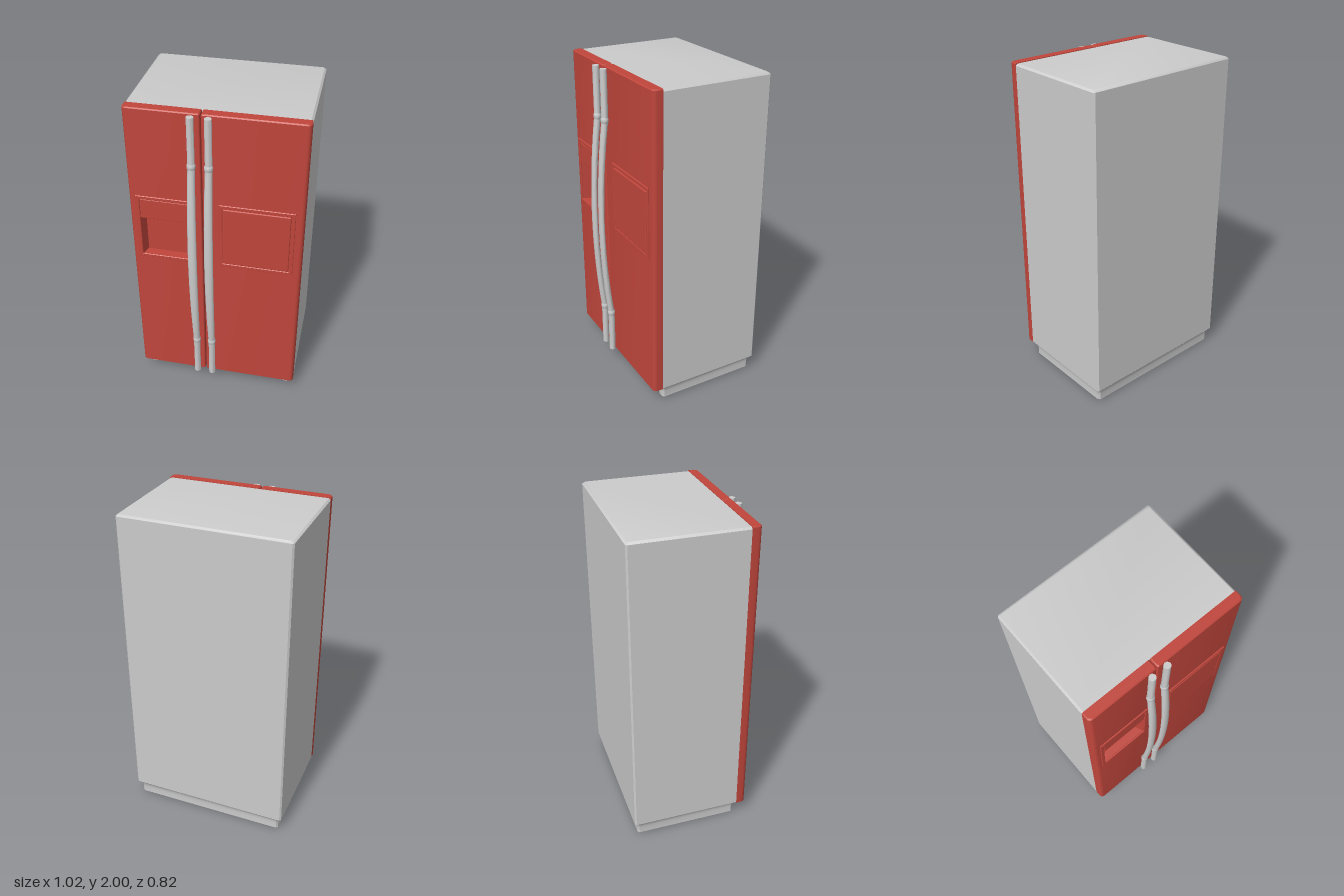
import * as THREE from 'three';
import { toCreasedNormals } from 'three/addons/utils/BufferGeometryUtils.js';
import { RoundedBoxGeometry } from 'three/addons/geometries/RoundedBoxGeometry.js';

const grey = new THREE.MeshStandardMaterial({ color: 0xcccccc });
const red = new THREE.MeshStandardMaterial({ color: 0xc0463c });

// Skin a stack of [y, plan] sections and cap both ends.
// Each plan is a list of [x, z] running front left, front right, back right, back left.
function loft(sections, crease = 0.6) {
  const n = sections[0][1].length;
  const pos = sections.flatMap(([y, plan]) => plan.flatMap(([x, z]) => [x, y, z]));
  const index = [];
  for (let i = 0; i < sections.length - 1; i++) {
    for (let j = 0; j < n; j++) {
      const a = i * n + j, b = i * n + (j + 1) % n;
      index.push(a, b, b + n, a, b + n, a + n);
    }
  }
  const last = (sections.length - 1) * n;
  const flat = s => s[1].map(([x, z]) => new THREE.Vector2(x, -z));
  for (const [a, b, c] of THREE.ShapeUtils.triangulateShape(flat(sections[0]), [])) index.push(c, b, a);
  for (const [a, b, c] of THREE.ShapeUtils.triangulateShape(flat(sections.at(-1)), [])) index.push(last + a, last + b, last + c);
  const g = new THREE.BufferGeometry();
  g.setAttribute('position', new THREE.Float32BufferAttribute(pos, 3));
  g.setIndex(index);
  return toCreasedNormals(g, crease);
}

function add(parent, name, geometry, material, x = 0, y = 0, z = 0) {
  const mesh = new THREE.Mesh(geometry, material);
  mesh.name = name;
  mesh.position.set(x, y, z);
  parent.add(mesh);
  return mesh;
}

// Cabinet outline with chamfered back corners
function cabinetPlan(inset) {
  const x = 0.51 - inset, z = -0.412 + inset, c = 0.01;
  return [[-x, 0.27], [x, 0.27], [x, z + c], [x - c, z], [-x + c, z], [-x, z + c]];
}

// Base outline: rounded corners and a toe recess between the front feet
function basePlan(inset) {
  const x = 0.485 - inset, f = 0.255 - inset, b = -0.39 + inset, c = 0.012;
  const half = [[0.37, f - 0.045], [0.40, f - 0.03], [0.42, f - 0.01], [0.44, f],
    [x - c, f], [x, f - c], [x, b + c], [x - c, b]];
  const mirrored = half.map(([px, pz]) => [-px, pz]).reverse();
  return [...half, ...mirrored];
}

// Door outline with rounded front edges and an optional splayed notch
function doorPlan(x0, x1, r0, r1, inset = 0, notch = []) {
  const a = x0 + inset, b = x1 - inset, f = 0.33 - inset, pts = [[a, 0.27]];
  const steps = [0, 1, 2, 3, 4].map(i => i * Math.PI / 8);
  for (const t of steps) pts.push([a + r0 * (1 - Math.cos(t)), f - r0 * (1 - Math.sin(t))]);
  pts.push(...notch);
  for (const t of steps) pts.push([b - r1 * (1 - Math.sin(t)), f - r1 * (1 - Math.cos(t))]);
  pts.push([b, 0.27]);
  return pts;
}

// Raised rectangular rim
function rim(x0, x1, y0, y1, w) {
  const box = (P, a, b, c, d) => new P().moveTo(a, c).lineTo(b, c).lineTo(b, d).lineTo(a, d).closePath();
  const e = 0.003;
  const shape = box(THREE.Shape, x0 + e, x1 - e, y0 + e, y1 - e);
  shape.holes.push(box(THREE.Path, x0 + w - e, x1 - w + e, y0 + w - e, y1 - w + e));
  return new THREE.ExtrudeGeometry(shape, {
    depth: 0.006, bevelThickness: e, bevelSize: e, bevelSegments: 1,
  });
}

// Bowed handle: straight ends, arched between the collars
function handle() {
  const group = new THREE.Group(), rings = [], sides = 12, lo = 0.38, hi = 1.69;
  const oval = (rx, rz, z) => Array.from({ length: sides }, (_, k) => {
    const t = k / sides * Math.PI * 2;
    return [-rx * Math.cos(t), z + rz * Math.sin(t)];
  });
  rings.push([0.094, oval(0.021, 0.02, 0.35)]);
  for (let i = 0; i <= 24; i++) {
    const s = i / 24, bow = 4 * s * (1 - s);
    rings.push([lo + (hi - lo) * s, oval(0.021 + 0.006 * bow, 0.02 - 0.004 * bow, 0.35 + 0.045 * bow)]);
  }
  rings.push([1.99, oval(0.021, 0.02, 0.35)]);
  add(group, 'handleBar', loft(rings, 0.9), grey);
  for (const y of [lo, hi]) {
    const collar = [[-0.018, 0.021], [-0.01, 0.025], [0.01, 0.025], [0.018, 0.021]]
      .map(([dy, r]) => [y + dy, oval(r, r - 0.002, 0.351)]);
    add(group, 'handleCollar', loft(collar, 0.9), grey);
  }
  return group;
}

export function createModel() {
  const model = new THREE.Group();
  model.name = 'refrigerator';

  // Cabinet and base
  add(model, 'cabinet', loft([
    [0.09, cabinetPlan(0.01)], [0.1, cabinetPlan(0)], [1.985, cabinetPlan(0)], [1.996, cabinetPlan(0.012)],
  ]), grey);
  add(model, 'base', loft([
    [0, basePlan(0.008)], [0.008, basePlan(0)], [0.05, basePlan(0)],
    [0.07, basePlan(-0.003)], [0.083, basePlan(-0.009)], [0.092, basePlan(-0.015)],
  ]), grey);

  // Wide door
  const wide = i => doorPlan(-0.073, 0.51, 0.008, 0.024, i);
  const wideDoor = new THREE.Group();
  wideDoor.name = 'wideDoor';
  model.add(wideDoor);
  add(wideDoor, 'doorPanel', loft([[0.09, wide(0.006)], [0.096, wide(0)], [1.994, wide(0)], [2, wide(0.006)]]), red);
  add(wideDoor, 'panelRim', rim(0.02, 0.46, 1.005, 1.445, 0.022), red, 0, 0, 0.329);
  add(wideDoor, 'insetPanel', new RoundedBoxGeometry(0.39, 0.39, 0.024, 2, 0.006), red, 0.24, 1.225, 0.329);

  // Narrow door, built in three courses so the middle one holds the dispenser recess
  const narrow = (i, notch) => doorPlan(-0.51, -0.08, 0.024, 0.008, i, notch);
  const notch = [[-0.448, 0.33], [-0.43, 0.278], [-0.165, 0.278], [-0.142, 0.33]];
  const narrowDoor = new THREE.Group();
  narrowDoor.name = 'narrowDoor';
  model.add(narrowDoor);
  add(narrowDoor, 'lowerDoorPanel', loft([[0.09, narrow(0.006)], [0.096, narrow(0)], [1.025, narrow(0)]]), red);
  add(narrowDoor, 'dispenserRecess', loft([[1.025, narrow(0, notch)], [1.29, narrow(0, notch)]]), red);
  add(narrowDoor, 'upperDoorPanel', loft([[1.29, narrow(0)], [1.994, narrow(0)], [2, narrow(0.006)]]), red);
  add(narrowDoor, 'dispenserRim', rim(-0.47, -0.12, 1.005, 1.445, 0.022), red, 0, 0, 0.329);
  add(narrowDoor, 'dispenserControlPanel', new RoundedBoxGeometry(0.3, 0.13, 0.016, 2, 0.004), red, -0.295, 1.356, 0.327);

  // Pair of handles either side of the door gap
  for (const [name, x] of [['narrowDoorHandle', -0.127], ['wideDoorHandle', -0.029]]) {
    const h = handle();
    h.name = name;
    h.position.x = x;
    model.add(h);
  }
  return model;
}
